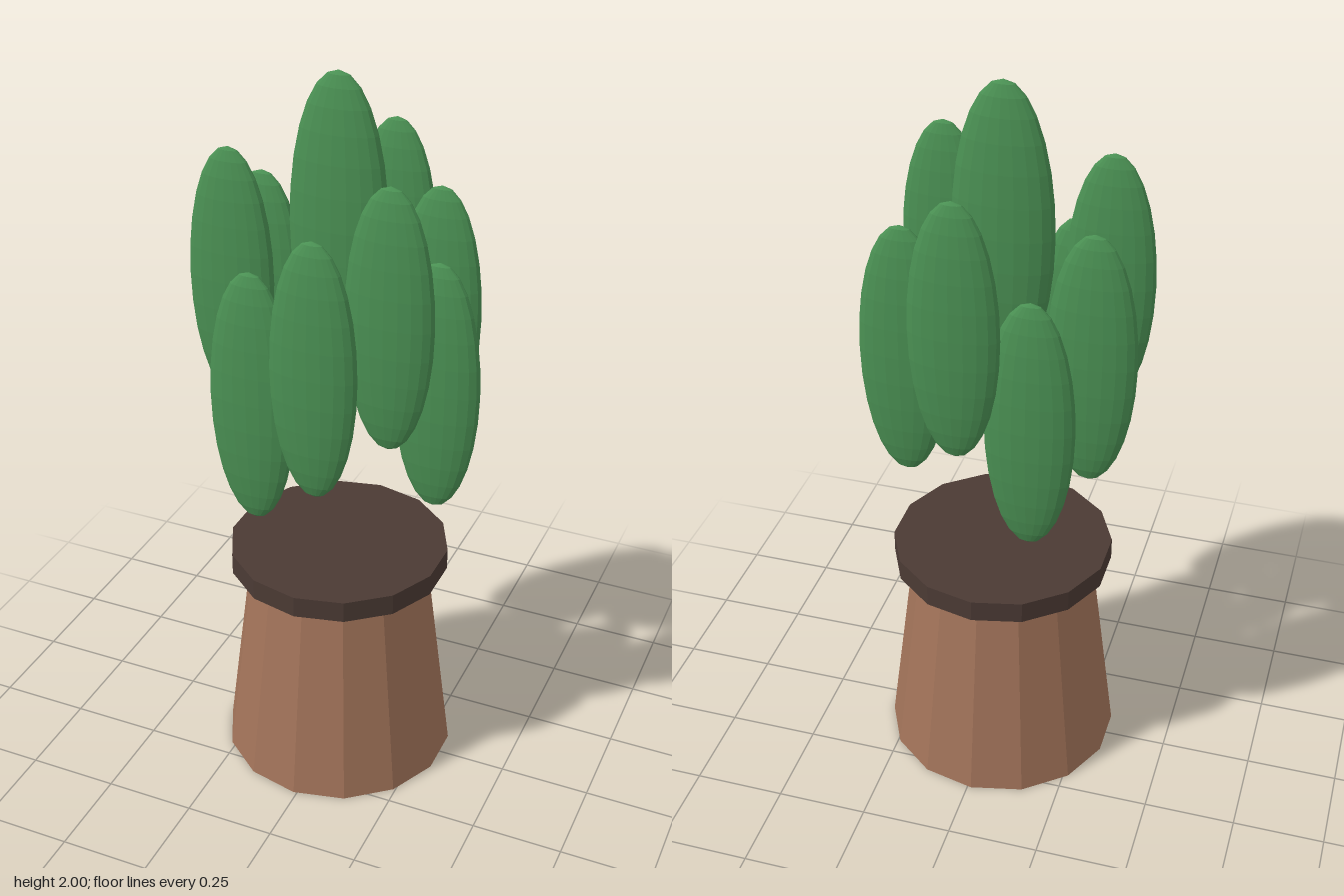
import * as THREE from 'three';

const CENTRE_X = -0.01;

export function createModel() {
  const group = new THREE.Group();
  const clay = new THREE.MeshStandardMaterial({ color: 0xa3745a });
  const soil = new THREE.MeshStandardMaterial({ color: 0x4b3a34 });
  const green = new THREE.MeshStandardMaterial({ color: 0x4a9053 });
  for (const [m, name] of [[clay, 'clay'], [soil, 'soil'], [green, 'leafGreen']]) {
    m.name = name;
    m.flatShading = true;
  }

  const add = (name, geometry, material, x, y, z) => {
    const mesh = new THREE.Mesh(geometry, material);
    mesh.name = name;
    mesh.position.set(x, y, z);
    group.add(mesh);
    return mesh;
  };

  // Pot flaring toward its base, with a dark slab on top
  add('pot', new THREE.CylinderGeometry(0.25, 0.325, 0.6, 14), clay, CENTRE_X, 0.3, 0);
  add('soilSlab', new THREE.CylinderGeometry(0.303, 0.303, 0.06, 14), soil, CENTRE_X, 0.63, 0);

  // Flat oval leaves: one tall in the middle, nine around it at three heights
  const oval = new THREE.SphereGeometry(1, 20, 14);
  add('centreLeaf', oval, green, CENTRE_X, 1.6, 0).scale.set(0.134, 0.4, 0.053);

  const heights = [1.195, 1.45, 1.322];
  for (let i = 0; i < 9; i++) {
    const a = (i / 9) * Math.PI * 2;
    const x = CENTRE_X + 0.272 * Math.cos(a);
    add('outerLeaf' + (i + 1), oval, green, x, heights[i % 3], 0.272 * Math.sin(a))
      .scale.set(0.118, 0.353, 0.042);
  }
  return group;
}
